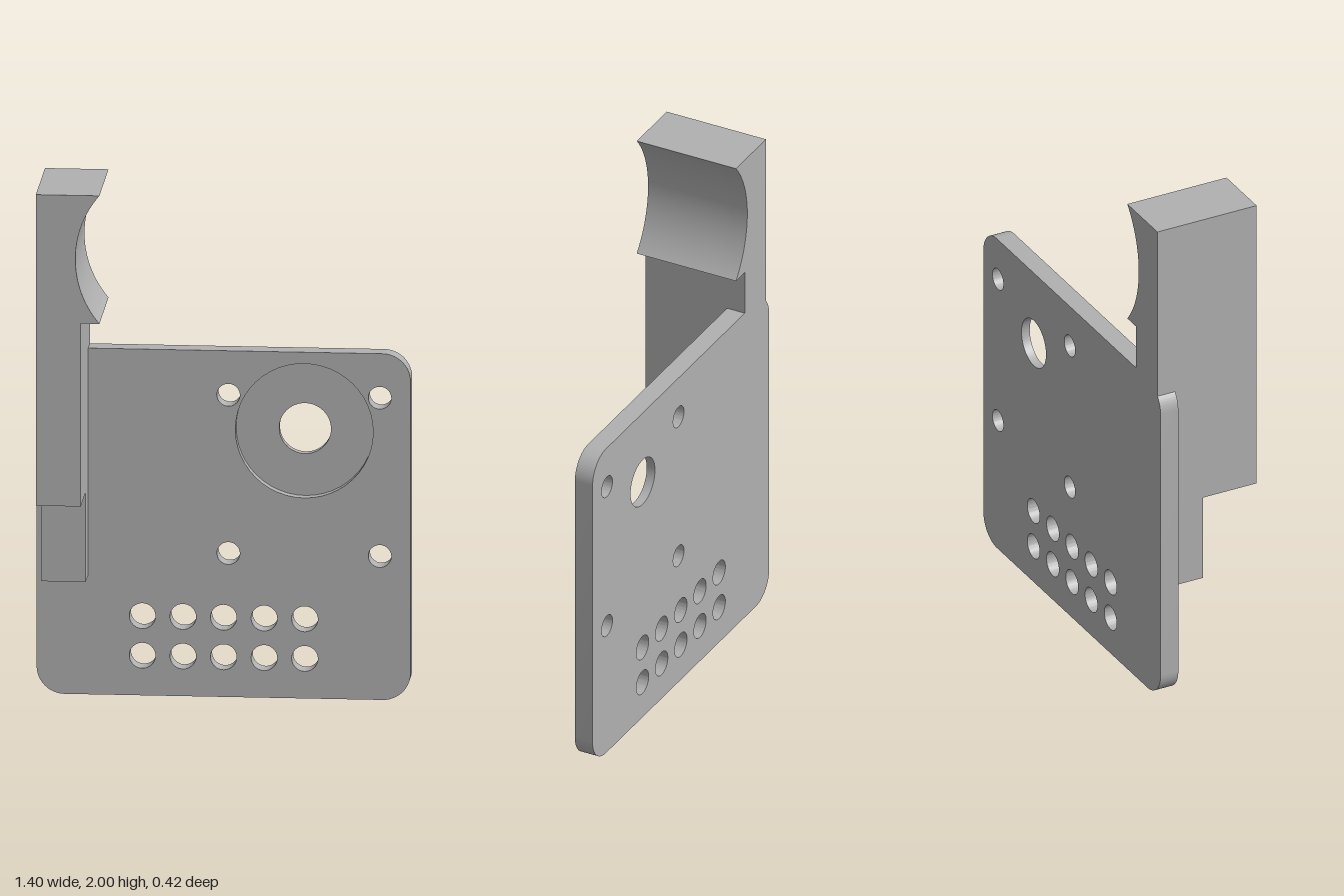
import * as THREE from 'three';
import { toCreasedNormals } from 'three/addons/utils/BufferGeometryUtils.js';

const BACK = -0.21, FACE = -0.135, FRONT = 0.21;

function circle(x, y, r) {
  return new THREE.Path().absarc(x, y, r, 0, Math.PI * 2, true);
}

// Extrude an x-y shape between two depths
function slab(name, shape, z0, z1, material) {
  const geometry = new THREE.ExtrudeGeometry(shape, { depth: z1 - z0, bevelEnabled: false, curveSegments: 24 });
  geometry.translate(0, 0, z0);
  const mesh = new THREE.Mesh(toCreasedNormals(geometry, 0.5), material);
  mesh.name = name;
  return mesh;
}

function roundedRect(x0, y0, x1, y1, r) {
  const s = new THREE.Shape();
  s.absarc(x1 - r, y0 + r, r, -Math.PI / 2, 0);
  s.absarc(x1 - r, y1 - r, r, 0, Math.PI / 2);
  s.absarc(x0 + r, y1 - r, r, Math.PI / 2, Math.PI);
  s.absarc(x0 + r, y0 + r, r, Math.PI, Math.PI * 1.5);
  s.closePath();
  return s;
}

// Upright post with a concave cradle near the top
function postShape(bottom) {
  const s = new THREE.Shape();
  const half = Math.asin(0.246 / 0.381);
  s.moveTo(-0.675, bottom);
  s.lineTo(-0.507, bottom);
  s.lineTo(-0.507, 1.508);
  s.lineTo(-0.437, 1.508);
  s.absarc(-0.146, 1.754, 0.381, Math.PI + half, Math.PI - half, true);
  s.lineTo(-0.437, 2);
  s.lineTo(-0.675, 2);
  s.closePath();
  return s;
}

export function createModel() {
  const group = new THREE.Group();
  group.name = 'mountingBracket';
  const grey = new THREE.MeshStandardMaterial({ color: 0xb0b0b0 });
  grey.name = 'grey';

  // Plate with mounting holes, cable holes and the round recess
  const plate = roundedRect(-0.7, 0, 0.7, 1.33, 0.105);
  for (const x of [0.018, 0.585])
    for (const y of [0.552, 1.16]) plate.holes.push(circle(x, y, 0.043));
  for (let i = -2; i <= 2; i++)
    for (const y of [0.153, 0.305]) plate.holes.push(circle(i * 0.152, y, 0.049));
  plate.holes.push(circle(0.302, 1.028, 0.258));
  group.add(slab('plate', plate, BACK, FACE, grey));

  // Recess floor with its centre hole
  const floor = new THREE.Shape().absarc(0.302, 1.028, 0.258, 0, Math.PI * 2);
  floor.holes.push(circle(0.302, 1.028, 0.097));
  group.add(slab('recessFloor', floor, BACK, -0.175, grey));

  // Post in front of the plate, and its continuation above the plate
  group.add(slab('post', postShape(0.805), FACE, FRONT, grey));
  group.add(slab('postRear', postShape(1.25), BACK, FACE, grey));

  // Stepped foot below the post
  const foot = new THREE.Mesh(new THREE.BoxGeometry(0.168, 0.345, 0.118), grey);
  foot.name = 'postFoot';
  foot.position.set(-0.591, 0.6325, -0.076);
  group.add(foot);

  return group;
}
